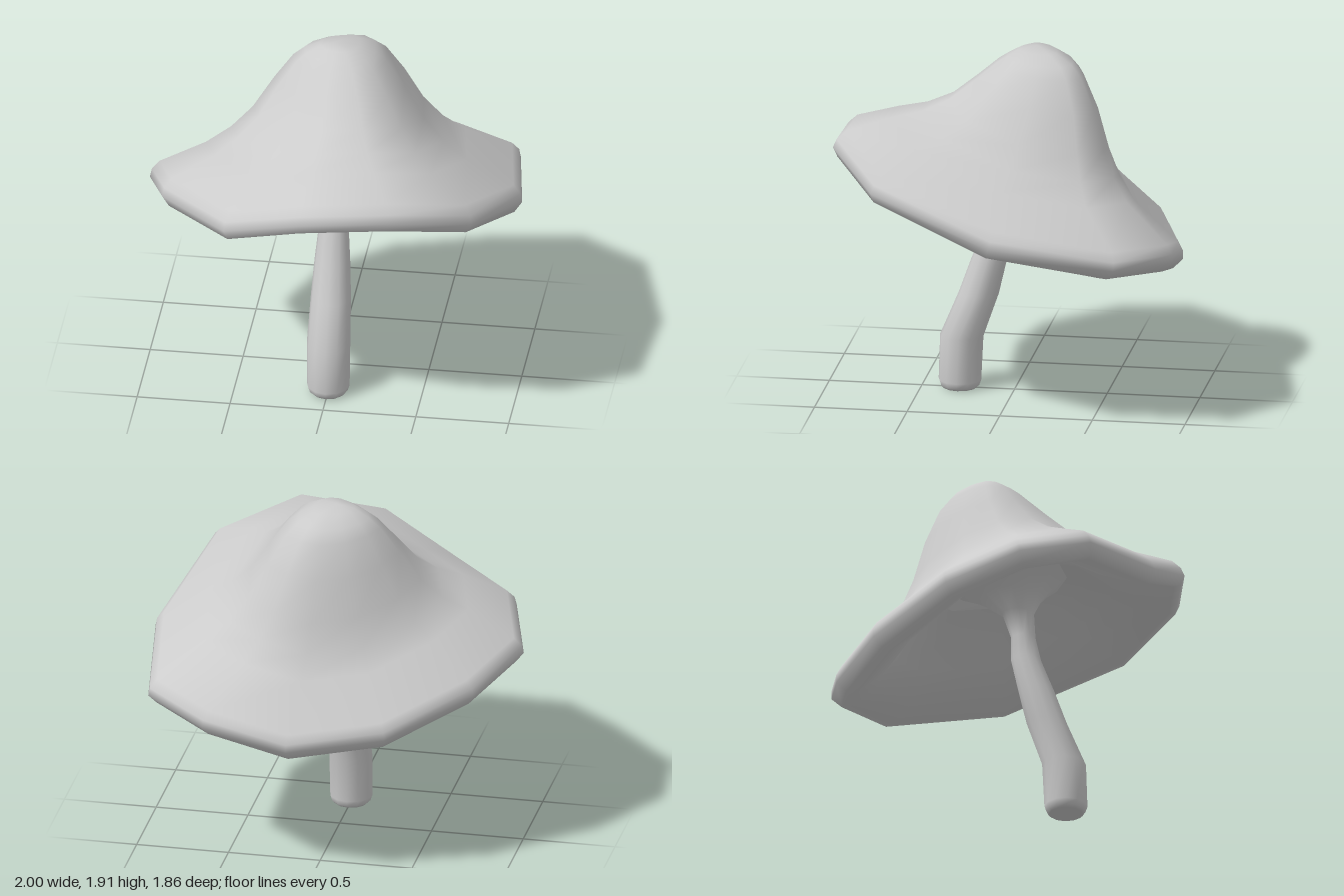
import * as THREE from 'three';

// Uneven outline of the cap's rim: x, y, z, going round from the back
const RIM = [
  [0.10, 0.81, -0.93], [0.55, 0.92, -0.94], [0.90, 0.965, -0.68], [1.00, 1.08, -0.02],
  [0.82, 1.31, 0.64], [0.41, 1.435, 0.91], [-0.07, 1.39, 0.92], [-0.50, 1.225, 0.75],
  [-0.88, 1.20, 0.39], [-1.00, 1.09, 0.01], [-0.81, 0.985, -0.38], [-0.40, 0.85, -0.75],
];
const RIM_Y = 1.11;

// Skins closed rings of equal length; a ring of one point is a pole
function loft(name, rings) {
  const n = Math.max(...rings.map((r) => r.length));
  const pos = [], start = [], index = [];
  for (const ring of rings) {
    start.push(pos.length / 3);
    for (const p of ring) pos.push(...p);
  }
  const id = (r, j) => start[r] + (j % rings[r].length);
  for (let r = 0; r < rings.length - 1; r++) {
    for (let j = 0; j < n; j++) {
      const a = id(r, j), b = id(r, j + 1), c = id(r + 1, j), d = id(r + 1, j + 1);
      if (a !== b) index.push(a, c, b);
      if (c !== d) index.push(b, c, d);
    }
  }
  const geo = new THREE.BufferGeometry();
  geo.setAttribute('position', new THREE.Float32BufferAttribute(pos, 3));
  geo.setIndex(index);
  geo.computeVertexNormals();
  const material = new THREE.MeshStandardMaterial({ color: 0xcccccc, side: THREE.DoubleSide });
  const mesh = new THREE.Mesh(geo, material);
  mesh.name = name;
  return mesh;
}

// Cap ring: the rim scaled by s about (0, cz), at height y, keeping a share of the rim's tilt
function capRing([s, y, cz, tilt]) {
  if (s === 0) return [[-0.02, y, cz]];
  return RIM.map(([x, ry, z]) => [x * s, y + (ry - RIM_Y) * tilt, cz + z * s]);
}

// Level round ring of the stem
function stemRing([y, z, r]) {
  if (r === 0) return [[0, y, z]];
  return Array.from({ length: 12 }, (_, i) => {
    const a = (i / 12) * Math.PI * 2;
    return [Math.cos(a) * r, y, z + Math.sin(a) * r];
  });
}

export function createModel() {
  const group = new THREE.Group();
  group.name = 'mushroom';

  // Cap: underside from the stem outwards, round the backward-leaning lip, then up the bump
  group.add(loft('cap', [
    [0.34, 1.37, -0.07, 0.3],
    [0.5, 1.29, -0.04, 0.52],
    [0.62, 1.185, -0.01, 0.74],
    [0.75, 1.105, 0.015, 0.9],
    [0.91, 1.035, 0.03, 1],
    [0.96, 1.045, 0.02, 1],
    [1.0, 1.1, 0.005, 1],
    [0.99, 1.145, -0.005, 1],
    [0.95, 1.19, -0.015, 0.99],
    [0.7, 1.325, -0.01, 0.74],
    [0.57, 1.405, -0.05, 0.58],
    [0.46, 1.51, -0.09, 0.43],
    [0.35, 1.675, -0.13, 0.25],
    [0.25, 1.81, -0.145, 0.1],
    [0.19, 1.86, -0.145, 0.05],
    [0.11, 1.902, -0.13, 0.02],
    [0, 1.915, -0.12, 0],
  ].map(capRing)));

  // Stem: bent backwards, thin at the neck and flared into the cap
  group.add(loft('stem', [
    [0, 0.295, 0],
    [0, 0.295, 0.09],
    [0.015, 0.295, 0.105],
    [0.045, 0.295, 0.115],
    [0.29, 0.285, 0.117],
    [0.53, 0.193, 0.108],
    [0.72, 0.137, 0.096],
    [0.9, 0.082, 0.08],
    [1.03, 0.068, 0.065],
    [1.17, 0.04, 0.085],
    [1.26, 0.0, 0.17],
    [1.33, -0.03, 0.26],
    [1.39, -0.06, 0.36],
  ].map(stemRing)));

  return group;
}
